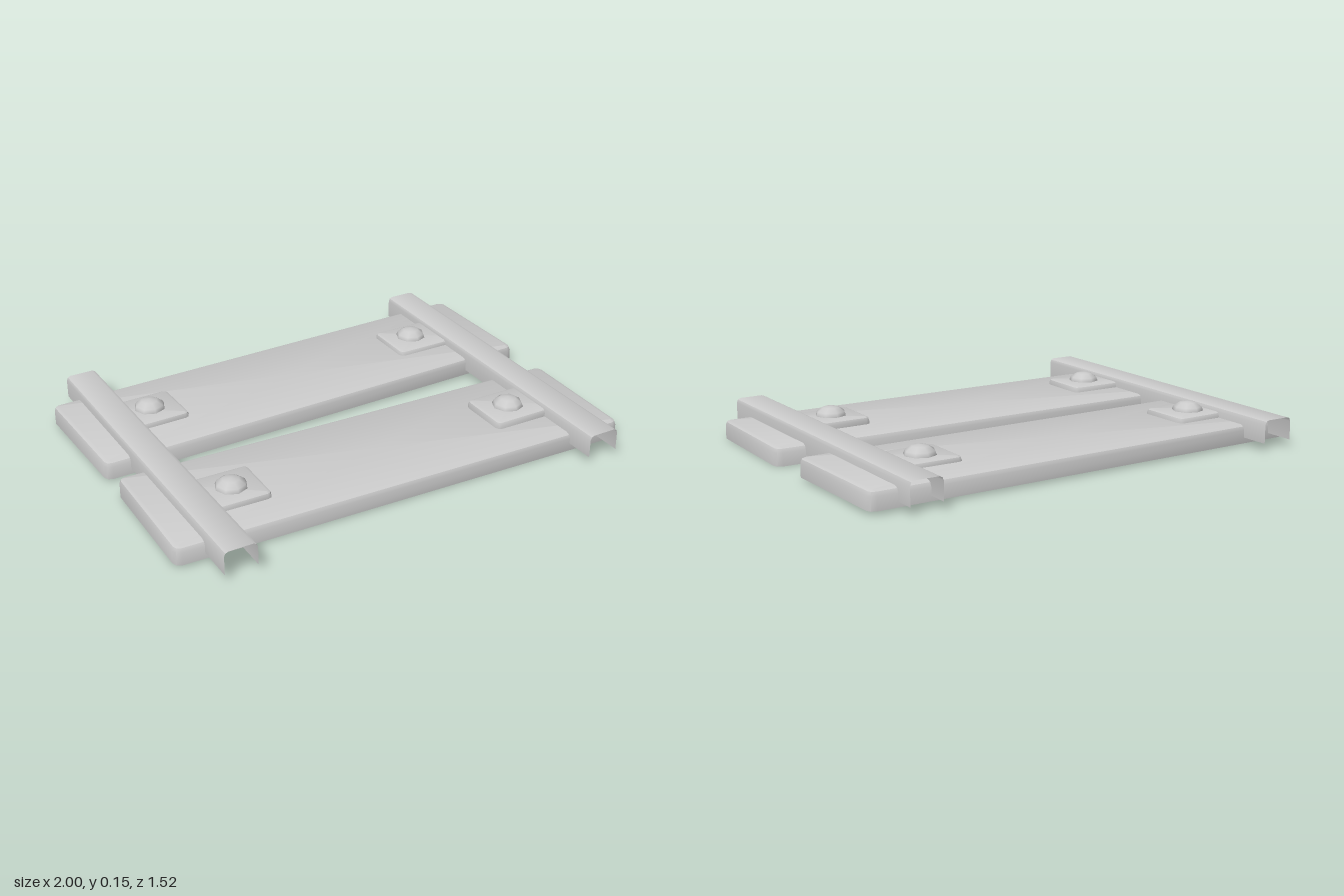
import * as THREE from 'three';
import { toCreasedNormals } from 'three/addons/utils/BufferGeometryUtils.js';

const material = new THREE.MeshStandardMaterial({ color: 0xcccccc, side: THREE.DoubleSide });

// Skin between rows of points; a row of identical points acts as a cap centre
function loft(rows, closed) {
  const n = rows[0].length;
  const index = [];
  for (let r = 0; r < rows.length - 1; r++) {
    const isCap = rows[r + 1][0].equals(rows[r + 1][1]);
    for (let i = 0; i < (closed ? n : n - 1); i++) {
      const j = (i + 1) % n;
      const a = r * n + i, b = r * n + j, c = a + n, d = b + n;
      index.push(a, c, b);
      if (!isCap) index.push(c, d, b);
    }
  }
  const geometry = new THREE.BufferGeometry().setFromPoints(rows.flat());
  geometry.setIndex(index);
  return toCreasedNormals(geometry, 0.6);
}

// Rounded rectangle at height y, pulled in by inset
function ring(width, depth, radius, inset, y) {
  const points = [];
  const r = Math.max(radius - inset, 0.004);
  [[1, 1], [-1, 1], [-1, -1], [1, -1]].forEach(([sx, sz], corner) => {
    for (let k = 0; k < 3; k++) {
      const a = (corner + k / 2) * Math.PI / 2;
      points.push(new THREE.Vector3(
        sx * (width / 2 - inset - r) + r * Math.cos(a), y,
        sz * (depth / 2 - inset - r) + r * Math.sin(a)));
    }
  });
  return points;
}

// Slab with rounded top edges and an open underside
function slab(width, depth, height, bevel) {
  const radius = bevel * 1.3;
  const rows = [ring(width, depth, radius, 0, 0)];
  for (let k = 0; k <= 2; k++) {
    const a = k * Math.PI / 4;
    rows.push(ring(width, depth, radius, bevel * (1 - Math.cos(a)), height - bevel * (1 - Math.sin(a))));
  }
  rows.push(rows[0].map(() => new THREE.Vector3(0, height, 0)));
  return loft(rows, true);
}

// Open channel running along z
function channel(width, bottom, top, length) {
  const w = width / 2, b = 0.018;
  const half = [[w, bottom], [w, top - b], [w - b * 0.3, top - b * 0.3], [w - b, top]];
  const profile = [...half.map(([x, y]) => [-x, y]), ...half.reverse()];
  return loft([-1, 1].map(s => profile.map(([x, y]) => new THREE.Vector3(x, y, s * length / 2))), false);
}

export function createModel() {
  const group = new THREE.Group();
  const add = (name, geometry, x, y, z, ry = 0, rz = 0) => {
    const mesh = new THREE.Mesh(geometry, material);
    mesh.name = name;
    mesh.position.set(x, y, z);
    mesh.rotation.set(0, ry, rz);
    group.add(mesh);
  };

  // Two slightly skewed planks
  const plank = slab(1.988, 0.562, 0.076, 0.022);
  add('frontPlank', plank, 0, 0.006, 0.34, -0.02, -0.005);
  add('backPlank', plank, 0, 0.012, -0.375, 0.023, 0.002);

  // Cross rails
  const rail = channel(0.134, 0.035, 0.13, 1.525);
  add('rightRail', rail, -0.815, 0, 0);
  add('leftRail', rail, 0.808, 0, 0);

  // Fixing plates tucked under the rails, each with a domed bolt
  const plate = slab(0.315, 0.232, 0.04, 0.016);
  const dome = new THREE.SphereGeometry(0.068, 8, 3, 0, Math.PI * 2, 0, Math.PI / 2);
  dome.scale(1, 0.68, 1);
  const fixings = [
    // name, plate x, z, turn, bolt x, z
    ['frontRight', -0.686, 0.348, -0.02, -0.65, 0.35],
    ['backRight', -0.698, -0.365, 0.023, -0.668, -0.372],
    ['frontLeft', 0.664, 0.348, 0, 0.632, 0.35],
    ['backLeft', 0.664, -0.392, 0, 0.632, -0.4],
  ];
  for (const [name, px, pz, turn, bx, bz] of fixings) {
    add(name + 'Plate', plate, px, 0.07, pz, turn);
    add(name + 'Bolt', dome, bx, 0.103, bz);
  }
  return group;
}
